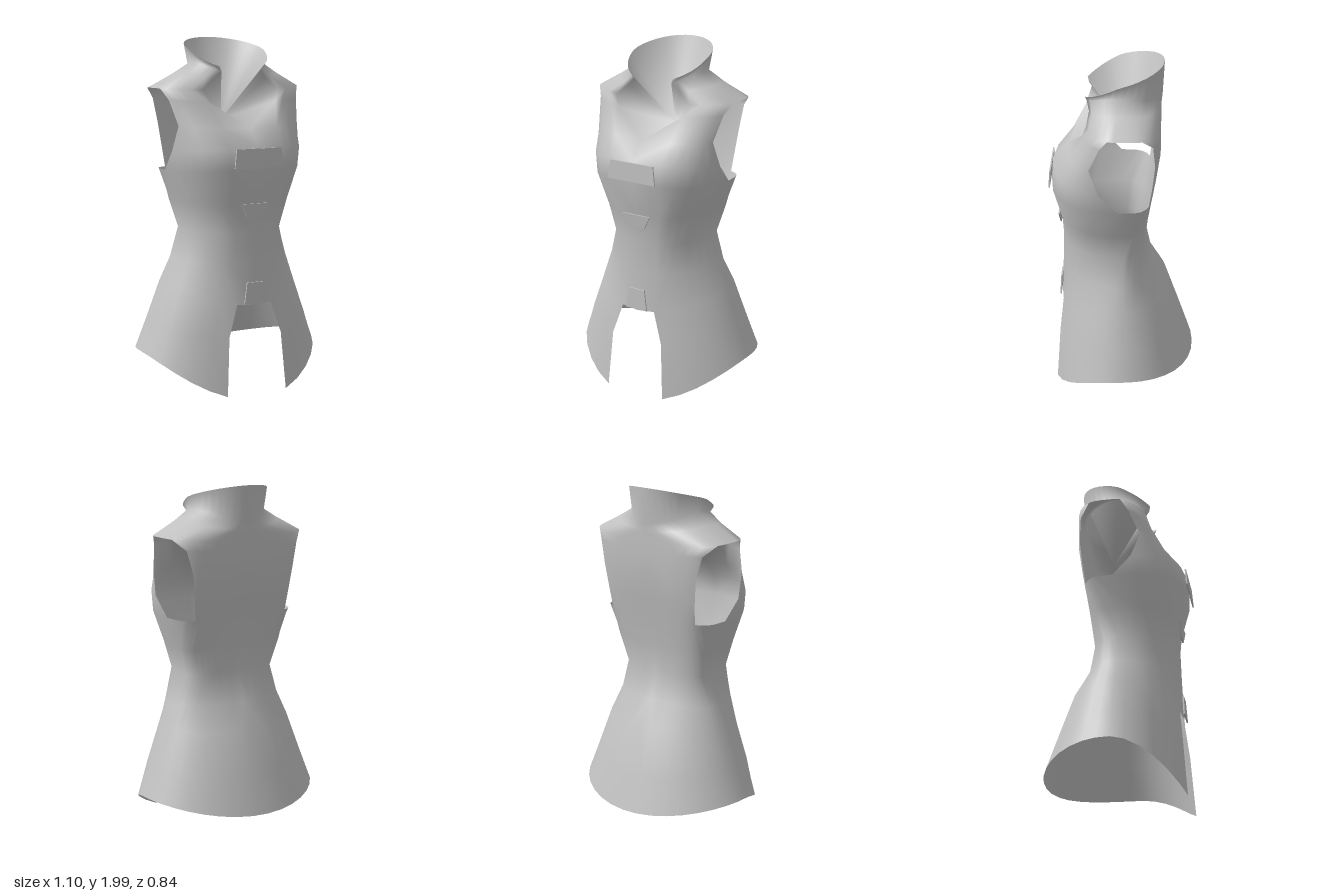
import * as THREE from 'three';
import { mergeVertices } from 'three/addons/utils/BufferGeometryUtils.js';

const { lerp, smoothstep } = THREE.MathUtils;
const COLS = 16, ARM_A = 6, ARM_B = 10; // columns of one half; the armhole lies between A and B
const RAD = Math.PI / 180;
const SLIT_TOP = 2, ARM_BOTTOM = 6, CHEST = 8, SHOULDER = 10, COLLAR = 13;
const NECK_TIP = [0, 1.53, -0.04];

// Cross-sections from hem to collar: y at front, side and back; half width; front z; back z
const ROWS = [
  [-0.022, 0.23, 0.15, 0.55, 0.42, -0.42],
  [0.33, 0.40, 0.36, 0.485, 0.395, -0.35],
  [0.51, 0.61, 0.62, 0.41, 0.365, -0.26],
  [0.74, 0.75, 0.76, 0.35, 0.355, -0.17],
  [0.92, 0.92, 0.93, 0.29, 0.35, -0.13],
  [1.08, 1.08, 1.09, 0.335, 0.36, -0.145],
  [1.28, 1.26, 1.26, 0.39, 0.41, -0.17],
  [1.40, 1.37, 1.38, 0.405, 0.40, -0.19],
  [1.50, 1.52, 1.52, 0.42, 0.31, -0.21],
  [1.64, 1.66, 1.65, 0.435, 0.235, -0.21],
  [1.71, 1.72, 1.70, 0.45, 0.215, -0.21],
  [1.76, 1.80, 1.76, 0.31, 0.21, -0.21],
  [1.79, 1.86, 1.80, 0.215, 0.235, -0.215],
  [1.82, 1.935, 2.00, 0.24, 0.245, -0.225],
];

// Angles of the armhole's front and back edge, from ARM_BOTTOM up to SHOULDER
const ARMHOLE = [[90, 141], [78, 141], [62, 139], [68, 132], [78, 110]];

// Angle of column i in row r: 0 is the front centre, 180 the back centre
function columnAngle(r, i) {
  if (i === 0) return 0;
  const start = r === SLIT_TOP ? 15 : Math.min(20 + 4 * Math.max(r - CHEST, 0), 35);
  const [armFront, armBack] = ARMHOLE[r - ARM_BOTTOM] ?? [77, 118];
  if (i <= ARM_A) return lerp(start, armFront, (i - 1) / (ARM_A - 1));
  if (i <= ARM_B) return lerp(armFront, armBack, (i - ARM_A) / (ARM_B - ARM_A));
  return lerp(armBack, 180, (i - ARM_B) / (COLS - ARM_B));
}

function rowPoint(r, i) {
  // above the chest the front centre folds inward to the tip of the V neck
  if (i === 0 && r > CHEST) return NECK_TIP;
  const [yFront, ySide, yBack, w, zFront, zBack] = ROWS[r];
  const t = columnAngle(r, i) * RAD;
  const s = i === COLS ? 0 : Math.sin(t), c = Math.cos(t);
  // the chest and back are boxier than the skirt and collar
  const boxy = smoothstep(ySide, 0.7, 1.25) * (1 - smoothstep(ySide, 1.68, 1.85));
  const power = 2 / (c > 0 ? 2 + 0.5 * boxy : 2 + 2 * boxy);
  // the collar's rim is a straight slope, the hem a curve
  const rise = r === COLLAR ? 1 - Math.abs(c) : s * s;
  const mid = 0.02;
  return [
    w * Math.pow(s, power),
    lerp(c > 0 ? yFront : yBack, ySide, rise),
    mid + ((c > 0 ? zFront : zBack) - mid) * Math.pow(Math.abs(c), power),
  ];
}

function smoothGeometry(pos, index) {
  const g = new THREE.BufferGeometry();
  g.setAttribute('position', new THREE.Float32BufferAttribute(pos, 3));
  g.setIndex(index);
  const merged = mergeVertices(g, 1e-4);
  merged.computeVertexNormals();
  return merged;
}

// Both mirrored halves of the shell, with the front slit and the armholes left open
function shellGeometry() {
  const pos = [], index = [], stride = COLS + 1;
  for (const side of [1, -1]) {
    const base = pos.length / 3;
    for (let r = 0; r < ROWS.length; r++) {
      for (let i = 0; i <= COLS; i++) {
        const [x, y, z] = rowPoint(r, i);
        pos.push(side * x, y, z);
      }
    }
    for (let r = 0; r < ROWS.length - 1; r++) {
      for (let i = 0; i < COLS; i++) {
        const slit = i === 0 && r < SLIT_TOP;
        const hole = r >= ARM_BOTTOM && r < SHOULDER && i >= ARM_A && i < ARM_B;
        if (slit || hole) continue;
        const a = base + r * stride + i, b = a + 1, d = a + stride, c = d + 1;
        if (side > 0) index.push(a, b, c, a, c, d);
        else index.push(a, c, b, a, d, c);
      }
    }
  }
  return smoothGeometry(pos, index);
}

// Funnel closing the neck, from the collar's rim down to the tip of the V
function liningGeometry() {
  const pos = [...NECK_TIP], index = [];
  for (const side of [1, -1]) {
    for (let i = 1; i <= COLS; i++) {
      const [x, y, z] = rowPoint(COLLAR, i);
      const k = pos.length / 3;
      pos.push(side * x, y, z);
      if (i > 1) index.push(0, ...(side > 0 ? [k, k - 1] : [k - 1, k]));
    }
  }
  return smoothGeometry(pos, index);
}

// Thin tapered flap given by y, z and half width of its top and bottom edges
function flapGeometry(top, bottom) {
  const g = new THREE.BoxGeometry(2, 1, 0.008);
  const p = g.attributes.position;
  for (let k = 0; k < p.count; k++) {
    const [y, z, w] = p.getY(k) > 0 ? top : bottom;
    p.setXYZ(k, p.getX(k) * w, y, p.getZ(k) + z);
  }
  g.computeVertexNormals();
  return g;
}

export function createModel() {
  const group = new THREE.Group();
  const cloth = new THREE.MeshStandardMaterial({ color: 0xc0c0c0, side: THREE.DoubleSide });
  cloth.name = 'grey cloth';

  const add = (name, geometry) => {
    const mesh = new THREE.Mesh(geometry, cloth);
    mesh.name = name;
    group.add(mesh);
  };

  add('sleevelessCoat', shellGeometry());
  add('neckLining', liningGeometry());
  add('chestFlap', flapGeometry([1.395, 0.406, 0.14], [1.29, 0.414, 0.155]));
  add('waistFlap', flapGeometry([1.085, 0.367, 0.09], [1.01, 0.36, 0.05]));
  add('lowerFlap', flapGeometry([0.64, 0.365, 0.05], [0.52, 0.372, 0.07]));

  return group;
}
